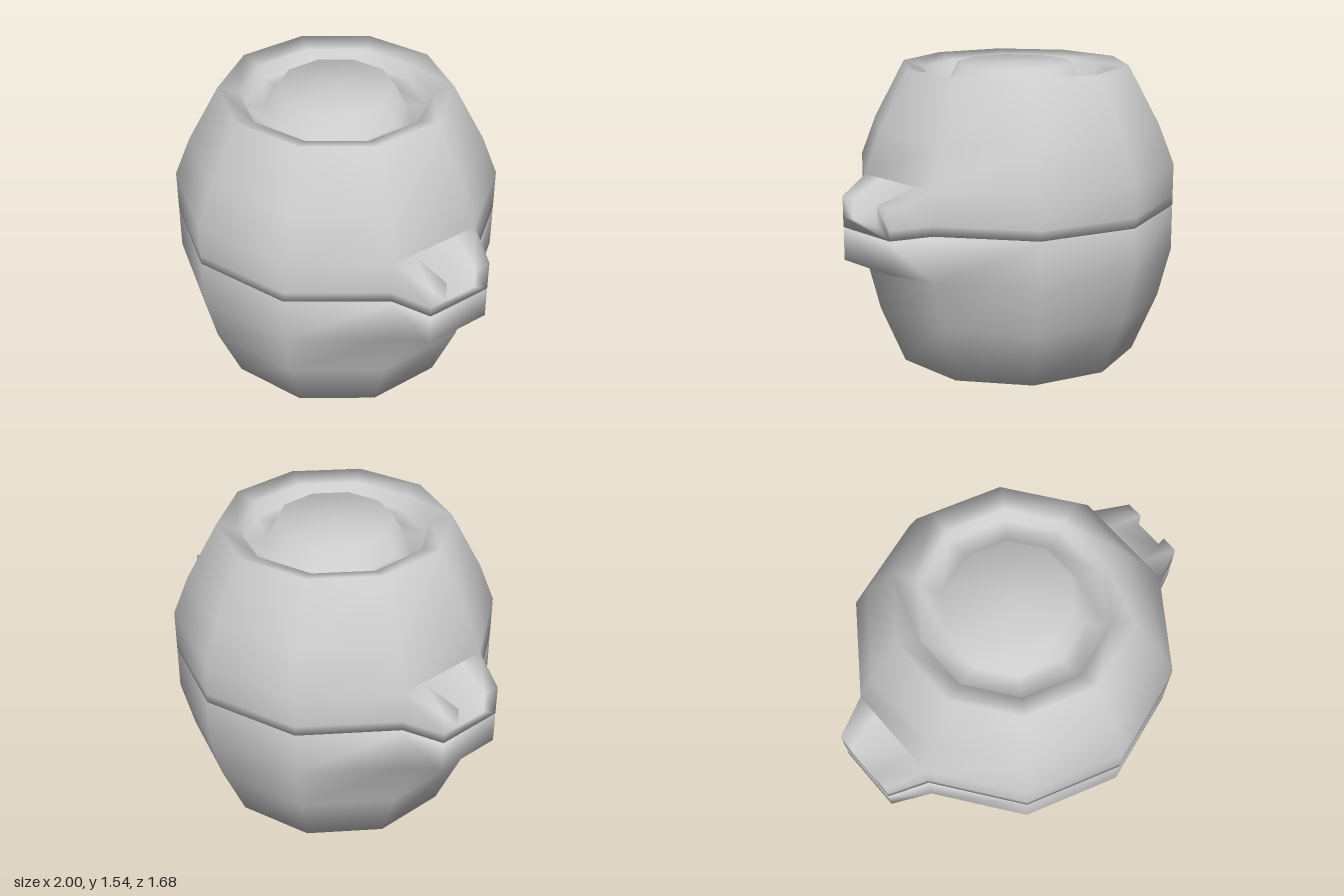
import * as THREE from 'three';
import { mergeVertices } from 'three/addons/utils/BufferGeometryUtils.js';

const SIDES = 10;
const HANDLE_FACES = [2, 7]; // the facets that face +x and -x

// Smooth indexed geometry from a list of triangles; degenerate ones are dropped
function smoothGeometry(triangles) {
  const points = [];
  for (const t of triangles) {
    if (new THREE.Triangle(...t).getArea() > 1e-7) points.push(...t);
  }
  const geometry = mergeVertices(new THREE.BufferGeometry().setFromPoints(points), 1e-4);
  geometry.computeVertexNormals();
  return geometry;
}

function addQuad(triangles, a, b, c, d) {
  triangles.push([a, b, c], [a, c, d]);
}

// Ten-sided shell of [radius, y] rings, left open where a handle grows out
function addShell(triangles, profile, openLow, openHigh) {
  const at = ([r, y], k) => {
    const angle = ((k % SIDES) / SIDES) * Math.PI * 2;
    return new THREE.Vector3(r * Math.sin(angle), y, r * Math.cos(angle));
  };
  for (let i = 0; i < profile.length - 1; i++) {
    const [low, high] = [profile[i], profile[i + 1]];
    const open = low[1] >= openLow && high[1] <= openHigh && low[0] === high[0];
    for (let k = 0; k < SIDES; k++) {
      if (open && HANDLE_FACES.includes(k)) continue;
      addQuad(triangles, at(low, k), at(low, k + 1), at(high, k + 1), at(high, k));
    }
  }
}

// Handle lofted between two [z, y] half sections, mirrored in z and repeated at -x
function addHandles(triangles, innerHalf, outerHalf) {
  const loop = (half) => [
    ...half.map(([z, y]) => [-z, y]),
    ...half.slice().reverse(),
  ];
  const inner = loop(innerHalf);
  const outer = loop(outerHalf);
  const cap = THREE.ShapeUtils.triangulateShape(
    outer.map(([z, y]) => new THREE.Vector2(-z, y)), []);
  for (const s of [1, -1]) {
    const place = (x) => ([z, y]) => new THREE.Vector3(s * x, y, s * z);
    const a = inner.map(place(RADIUS * Math.cos(Math.PI / 10)));
    const b = outer.map(place(1));
    for (let i = 0; i < a.length; i++) {
      const j = (i + 1) % a.length;
      addQuad(triangles, a[i], a[j], b[j], b[i]);
    }
    for (const [i, j, k] of cap) triangles.push([b[i], b[j], b[k]]);
  }
}

const RADIUS = 0.84;
const HALF_FACET = RADIUS * Math.sin(Math.PI / 10);

export function createModel() {
  const model = new THREE.Group();
  model.name = 'liddedPot';
  const material = new THREE.MeshStandardMaterial({ color: 0xcccccc });
  const addPart = (name, triangles) => {
    const mesh = new THREE.Mesh(smoothGeometry(triangles), material);
    mesh.name = name;
    model.add(mesh);
  };

  // Bowl with a solid grip on each side
  const bowl = [];
  addShell(bowl, [
    [0, 0], [0.645, 0], [0.775, 0.31], [RADIUS, 0.57], [RADIUS, 0.795],
    [0.79, 0.8], [0, 0.8],
  ], 0.57, 0.795);
  addHandles(bowl,
    [[HALF_FACET, 0.57], [HALF_FACET, 0.795]],
    [[0.18, 0.64], [0.18, 0.795]]);
  addPart('bowl', bowl);

  // Lid with a trough around its central knob, and a notched grip on each side
  const lid = [];
  addShell(lid, [
    [0, 0.802], [0.79, 0.802], [RADIUS, 0.808], [RADIUS, 0.86], [RADIUS, 1.03],
    [0.757, 1.24], [0.595, 1.54], [0.49, 1.51], [0.47, 1.43], [0.36, 1.43],
    [0.3, 1.545], [0, 1.545],
  ], 0.808, 1.03);
  addHandles(lid,
    [[HALF_FACET, 0.808], [HALF_FACET, 0.86], [HALF_FACET, 1.03], [0.13, 1.03], [0.13, 1.03]],
    [[0.18, 0.808], [0.18, 0.86], [0.18, 0.965], [0.09, 0.965], [0.09, 0.86]]);
  addPart('lid', lid);

  return model;
}
